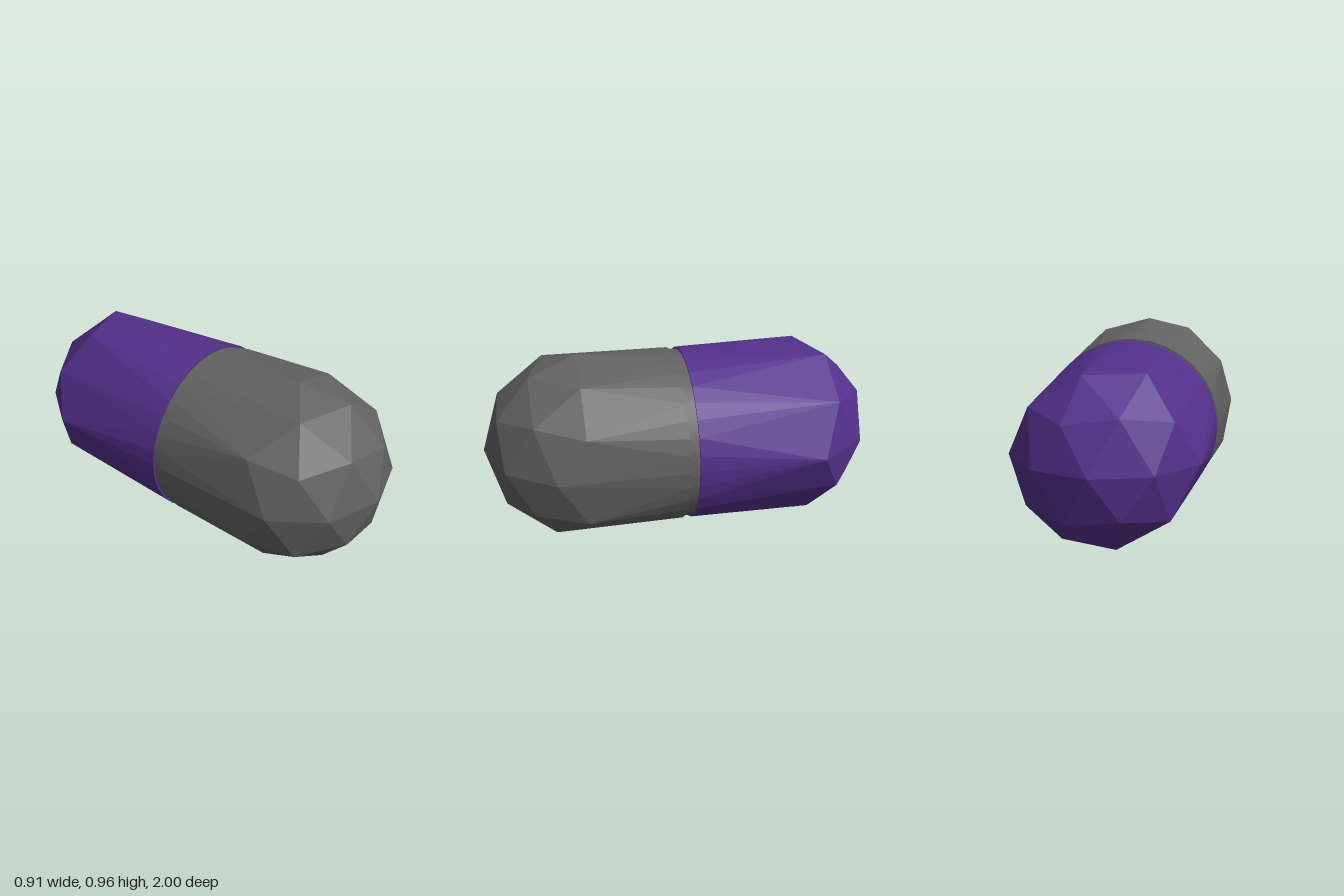
import * as THREE from 'three';
import { ConvexGeometry } from 'three/addons/geometries/ConvexGeometry.js';

const R = 0.48;          // radius of the rounded ends
const RX = 0.454, RY = 0.445; // half width and height of the shells at the seam

export function createModel() {
  const grey = new THREE.MeshStandardMaterial({ color: 0x626262 });
  grey.name = 'dark grey';
  const purple = new THREE.MeshStandardMaterial({ color: 0x54308c });
  purple.name = 'purple';

  // Distinct corners of a faceted ball, turned so that one corner points up
  const ball = new THREE.IcosahedronGeometry(R, 1).rotateZ(-Math.atan(2 / (1 + Math.sqrt(5))));
  const corners = new Map();
  const pos = ball.attributes.position;
  for (let i = 0; i < pos.count; i++) {
    const p = new THREE.Vector3().fromBufferAttribute(pos, i);
    corners.set(p.toArray().map(v => Math.round(v * 1000) + 0).join(), p);
  }

  // Half shell: the ball's outer corners joined to a round rim at the seam
  function shell(name, side, minDepth, rimZ, material) {
    const points = [];
    for (const p of corners.values()) {
      if (p.z * side > minDepth) points.push(new THREE.Vector3(p.x, p.y, p.z + side * (1 - R)));
    }
    for (let i = 0; i < 32; i++) {
      const a = i / 32 * Math.PI * 2;
      points.push(new THREE.Vector3(RX * Math.cos(a), RY * Math.sin(a), rimZ));
    }
    const mesh = new THREE.Mesh(new ConvexGeometry(points), material);
    mesh.name = name;
    mesh.position.y = R;
    return mesh;
  }

  const group = new THREE.Group();
  group.name = 'capsule';
  group.add(shell('frontShell', 1, -0.01, 0.022, grey));
  group.add(shell('backShell', -1, 0.1, -0.025, purple));

  // Recessed band in the seam
  const bandGeo = new THREE.CylinderGeometry(1, 1, 0.08, 32, 1, true).rotateX(Math.PI / 2);
  const band = new THREE.Mesh(bandGeo.scale(RX - 0.01, RY - 0.01, 1), grey);
  band.name = 'seamBand';
  band.position.y = R;
  group.add(band);
  return group;
}
